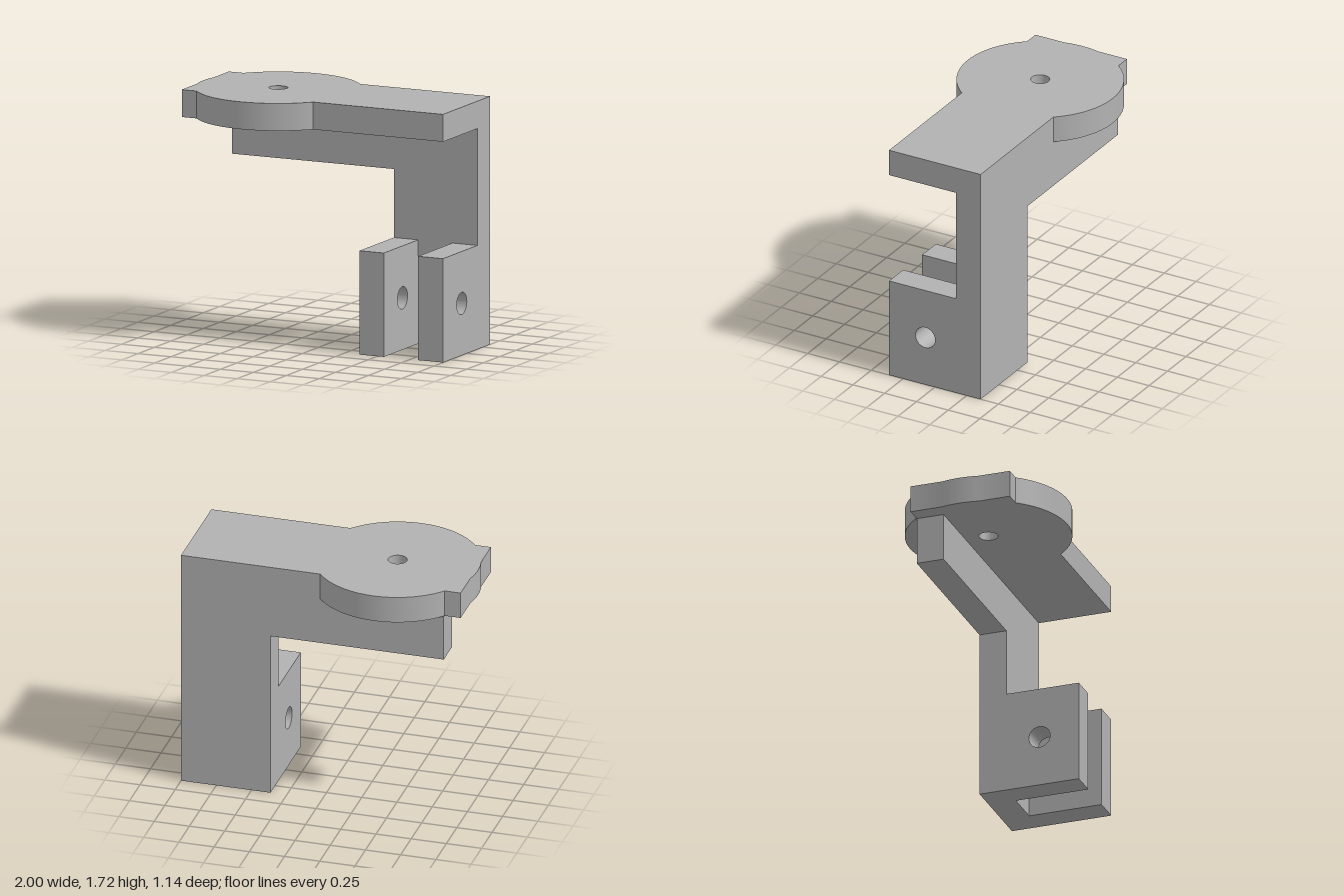
import * as THREE from 'three';
import { toCreasedNormals } from 'three/addons/utils/BufferGeometryUtils.js';

const grey = new THREE.MeshStandardMaterial({ color: 0xb2b2b2 });
grey.name = 'grey';

const BACK = -0.36, FRONT = 0.36, WALL_FRONT = -0.165;
const PLATE_BOTTOM = 1.53, TOP = 1.72;

function extrude(shape, depth) {
  const g = new THREE.ExtrudeGeometry(shape, { depth, bevelEnabled: false, curveSegments: 48 });
  return toCreasedNormals(g, 0.5);
}

function drill(shape, x, y, r) {
  shape.holes.push(new THREE.Path().absarc(x, y, r, 0, Math.PI * 2, true));
}

function polygon(points) {
  return new THREE.Shape(points.map(([x, y]) => new THREE.Vector2(x, y)));
}

function part(name, geometry) {
  const mesh = new THREE.Mesh(geometry, grey);
  mesh.name = name;
  return mesh;
}

// Flat bar merged with a disc that bulges past its sides and end
function topPlate() {
  const cx = -0.43, r = 0.57, end = -0.985;
  const a = Math.asin(FRONT / r);
  const b = Math.acos((cx - end) / r);
  const s = new THREE.Shape();
  s.moveTo(1, -FRONT);
  s.lineTo(1, FRONT);
  s.absarc(cx, 0, r, a, Math.PI - a, false);
  s.lineTo(end, FRONT);
  s.absarc(cx, 0, r, Math.PI - b, Math.PI + b, false);
  s.lineTo(end, -FRONT);
  s.absarc(cx, 0, r, Math.PI + a, Math.PI * 2 - a, false);
  s.closePath();
  drill(s, cx, 0, 0.065);
  const g = extrude(s, TOP - PLATE_BOTTOM);
  g.rotateX(-Math.PI / 2).translate(0, PLATE_BOTTOM, 0);
  return part('topPlate', g);
}

// L-shaped wall: upright leg plus the rib under the plate
function backWall() {
  const s = polygon([[0.365, 0], [1, 0], [1, PLATE_BOTTOM], [-0.865, PLATE_BOTTOM], [-0.865, 1.195], [0.365, 1.195]]);
  return part('backWall', extrude(s, WALL_FRONT - BACK).translate(0, 0, BACK));
}

// Clevis lug with a pin hole, drawn in z and y and extruded along x
function lug(name, x0, x1) {
  const s = polygon([[WALL_FRONT, 0], [FRONT, 0], [FRONT, 0.72], [WALL_FRONT, 0.72]]);
  drill(s, 0.075, 0.36, 0.077);
  return part(name, extrude(s, x1 - x0).rotateY(-Math.PI / 2).translate(x1, 0, 0));
}

export function createModel() {
  const model = new THREE.Group();
  model.name = 'bracket';
  model.add(topPlate(), backWall(), lug('rightLug', 0.365, 0.55), lug('leftLug', 0.81, 1));
  return model;
}
